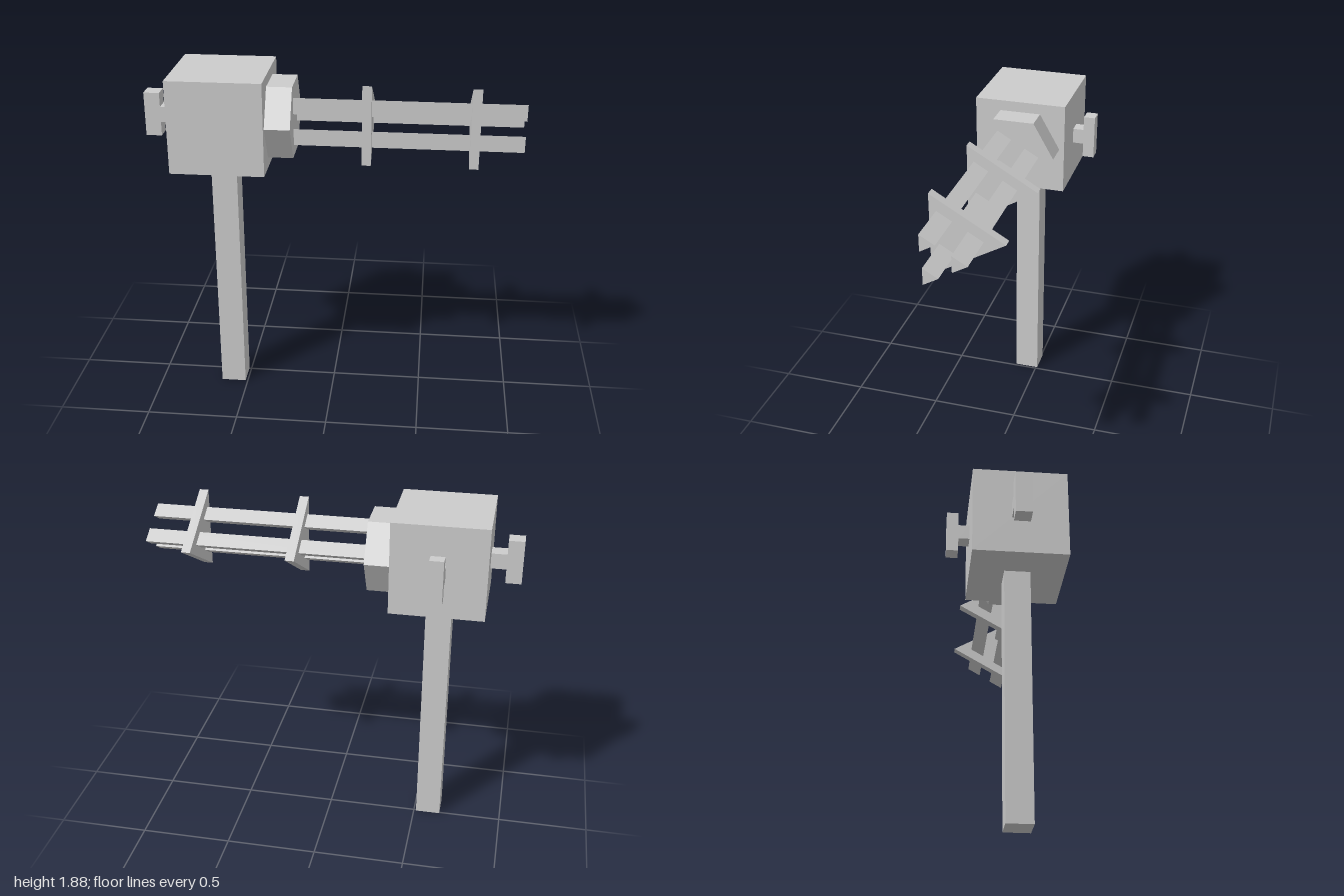
import * as THREE from 'three';

const CY = 1.625; // height of the barrel axis
const CZ = 0.061; // depth of the barrel axis
const CX = -0.584; // centre of the housing

export function createModel() {
  const model = new THREE.Group();
  const material = new THREE.MeshStandardMaterial({ color: 0xcccccc, flatShading: true });

  function add(name, geometry, parent = model) {
    const mesh = new THREE.Mesh(geometry, material);
    mesh.name = name;
    parent.add(mesh);
    return mesh;
  }

  function box(name, w, h, d, x, y, z, parent) {
    add(name, new THREE.BoxGeometry(w, h, d), parent).position.set(x, y, z);
  }

  // Prism lying along x from x0 to x1, with one corner pointing to -z
  function prism(name, sides, radius, x0, x1, y, z) {
    const geometry = new THREE.CylinderGeometry(radius, radius, x1 - x0, sides, 1, false, Math.PI);
    geometry.rotateZ(-Math.PI / 2);
    add(name, geometry).position.set((x0 + x1) / 2, y, z);
  }

  // Post and housing
  box('post', 0.138, 1.375, 0.138, CX + 0.002, 1.375 / 2, CZ);
  box('housing', 0.5, 0.5, 0.5, CX, CY, CZ);

  // Hexagonal barrel mount
  prism('barrelMount', 6, 0.223, -0.334, -0.2, CY, CZ);

  // Three triangular barrels
  const barrels = [[1.711, 0.124], [1.538, 0.115], [1.625, -0.028]];
  for (const [y, z] of barrels) prism('barrel', 3, 0.051, -0.2, 1, y, z);

  // Triangular plates clamping the barrels
  for (const x of [0.16, 0.718]) prism('barrelClamp', 3, 0.249, x, x + 0.049, CY, CZ);

  // T-shaped handles: each is built pointing to -z, then turned into place
  function handle(name, width, stem, grip) {
    const group = new THREE.Group();
    group.name = name;
    box('handleStem', width, 0.083, stem, 0, 0, -stem / 2, group);
    box('handleGrip', width, 0.236, grip, 0, 0, -stem - grip / 2, group);
    model.add(group);
    return group;
  }
  handle('backHandle', 0.074, 0.059, 0.062).position.set(CX, 1.622, CZ - 0.25);
  const rearHandle = handle('rearHandle', 0.086, 0.082, 0.084);
  rearHandle.position.set(CX - 0.25, CY, 0.058);
  rearHandle.rotation.y = Math.PI / 2;

  return model;
}
